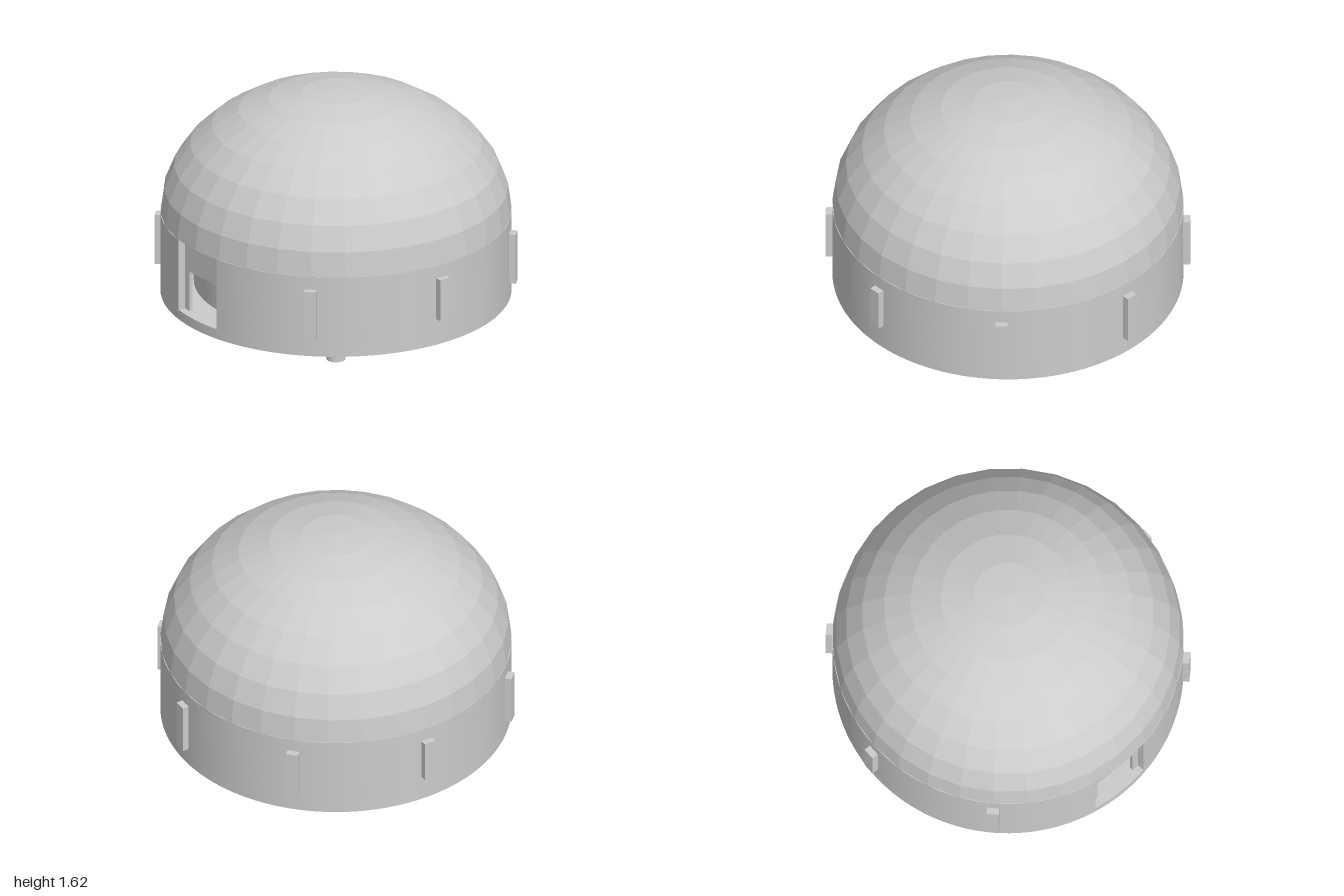
import * as THREE from 'three';
import { toCreasedNormals } from 'three/addons/utils/BufferGeometryUtils.js';

const R = 0.963, BASE = 0.431, FLOOR = 0.476, EAVES = 0.901;
const smooth = new THREE.MeshStandardMaterial({ color: 0xcccccc });
const faceted = new THREE.MeshStandardMaterial({ color: 0xcccccc, flatShading: true, side: THREE.DoubleSide });

function add(parent, name, geometry, material = smooth) {
  const mesh = new THREE.Mesh(geometry, material);
  mesh.name = name;
  parent.add(mesh);
  return mesh;
}

// Ring sector between two radii, angles anticlockwise seen from above
function sector(inner, outer, a0, a1) {
  const shape = new THREE.Shape();
  shape.absarc(0, 0, outer, a0, a1, false);
  shape.absarc(0, 0, inner, a1, a0, true);
  shape.closePath();
  return shape;
}

// Full flat ring
function ring(inner, outer) {
  const shape = new THREE.Shape().absarc(0, 0, outer, 0, Math.PI * 2, false);
  shape.holes.push(new THREE.Path().absarc(0, 0, inner, 0, Math.PI * 2, false));
  return shape;
}

// Plan shape raised from y0 to y1
function raise(shape, y0, y1, curveSegments = 64) {
  const g = new THREE.ExtrudeGeometry(shape, { depth: y1 - y0, bevelEnabled: false, curveSegments });
  g.rotateX(-Math.PI / 2).translate(0, y0, 0);
  return toCreasedNormals(g, 0.5);
}

export function createModel() {
  const model = new THREE.Group();
  model.name = 'domedBuilding';
  const body = new THREE.Group();
  body.name = 'building';
  body.position.x = -0.0175;
  model.add(body);

  // Flattened half-sphere roof
  const dome = new THREE.SphereGeometry(R, 32, 8, 0, Math.PI * 2, 0, Math.PI / 2);
  dome.scale(1, 0.72 / R, 1).translate(0, EAVES, 0);
  add(body, 'dome', dome, faceted);

  // Round wall, open on the entrance side, standing on a closed skirt
  const gap = 0.18;
  add(body, 'wall', raise(sector(R - 0.04, R, Math.PI + gap, 3 * Math.PI - gap), FLOOR, EAVES));
  add(body, 'skirt', raise(ring(R - 0.02, R), BASE, FLOOR));

  // Flat recessed entrance panel with a doorway
  const w = 0.172, d = 0.125, top = 0.72;
  const panel = new THREE.Shape([
    [-w, FLOOR], [-d, FLOOR], [-d, top], [d, top],
    [d, FLOOR], [w, FLOOR], [w, EAVES], [-w, EAVES],
  ].map(([x, y]) => new THREE.Vector2(x, y)));
  const panelGeo = new THREE.ExtrudeGeometry(panel, { depth: 0.02, bevelEnabled: false });
  panelGeo.rotateY(-Math.PI / 2).translate(-0.89, 0, 0);
  add(body, 'entrancePanel', panelGeo);

  // Faceted inner wall behind the entrance
  const inner = new THREE.CylinderGeometry(0.78, 0.78, 0.4, 96, 1, true);
  add(body, 'innerWall', inner, faceted).position.y = FLOOR + 0.2;

  // Floor recessed within the skirt, with the stair well
  add(body, 'floor', raise(ring(0.19, R), FLOOR, FLOOR + 0.012));

  // Hanging ring ribs in quarters, under the floor
  for (const [r0, r1, turn] of [[0.19, 0.205, 0.4], [0.265, 0.285, 0.4], [0.385, 0.41, 0], [0.49, 0.515, 0.4]]) {
    for (let i = 0; i < 4; i++) {
      const a = turn + i * Math.PI / 2;
      add(body, 'ringRib', raise(sector(r0, r1, a + 0.06, a + Math.PI / 2 - 0.06), FLOOR - 0.03, FLOOR, 20));
    }
  }
  // Short radial ribs joining the rings
  for (let i = 0; i < 4; i++) {
    for (const [r0, r1, turn] of [[0.41, 0.49, 0.8], [0.285, 0.385, 0.8]]) {
      for (const side of [-0.06, 0.06]) {
        const a = turn + side + i * Math.PI / 2;
        const rib = add(body, 'radialRib', new THREE.BoxGeometry(r1 - r0, 0.03, 0.012));
        rib.position.set((r0 + r1) / 2 * Math.cos(a), FLOOR - 0.015, -(r0 + r1) / 2 * Math.sin(a));
        rib.rotation.y = a;
      }
    }
  }

  // Thin plates under the floor, between the buttresses
  for (let i = 0; i < 8; i++) {
    const a = (i + 0.5) * Math.PI / 4;
    const plate = add(body, 'floorPlate', new THREE.BoxGeometry(0.14, 0.016, 0.13));
    plate.position.set(0.83 * Math.cos(a), FLOOR, 0.83 * Math.sin(a));
    plate.rotation.y = -a;
  }

  // Seven buttresses; the entrance takes the eighth place
  for (let i = 0; i < 8; i++) {
    if (i === 4) continue;
    const a = i * Math.PI / 4;
    const bottom = i === 2 || i === 6 ? 0.583 : 0.536;
    const b = add(body, 'buttress', new THREE.BoxGeometry(0.08, 0.826 - bottom, 0.067));
    b.position.set(0.96 * Math.cos(a), (0.826 + bottom) / 2, 0.96 * Math.sin(a));
    b.rotation.y = -a;
  }

  // Spiral stair column with bands
  const stair = new THREE.Group();
  stair.name = 'spiralStair';
  body.add(stair);
  add(stair, 'column', new THREE.CylinderGeometry(0.053, 0.053, 0.5, 32)).position.y = 0.268;
  for (const y of [0.1, 0.17, 0.245, 0.32, 0.395]) {
    add(stair, 'columnBand', new THREE.CylinderGeometry(0.059, 0.059, 0.01, 32)).position.y = y;
  }

  // Wedge treads climbing through the well, with thin rods at the outer corners
  const step = Math.PI / 12;
  for (let i = 0; i <= 26; i++) {
    const a = Math.PI / 2 + (i - 0.5) * step, y = 0.058 + i * 0.0185;
    add(stair, 'tread', raise(sector(0.045, 0.176, a, a + step * 1.2), y, y + 0.015, 4));
    for (const k of [0.15, 1.05]) {
      const rod = add(stair, 'rod', new THREE.CylinderGeometry(0.002, 0.002, 0.06, 6));
      rod.position.set(0.171 * Math.cos(a + k * step), y - 0.028, -0.171 * Math.sin(a + k * step));
    }
  }
  return model;
}
